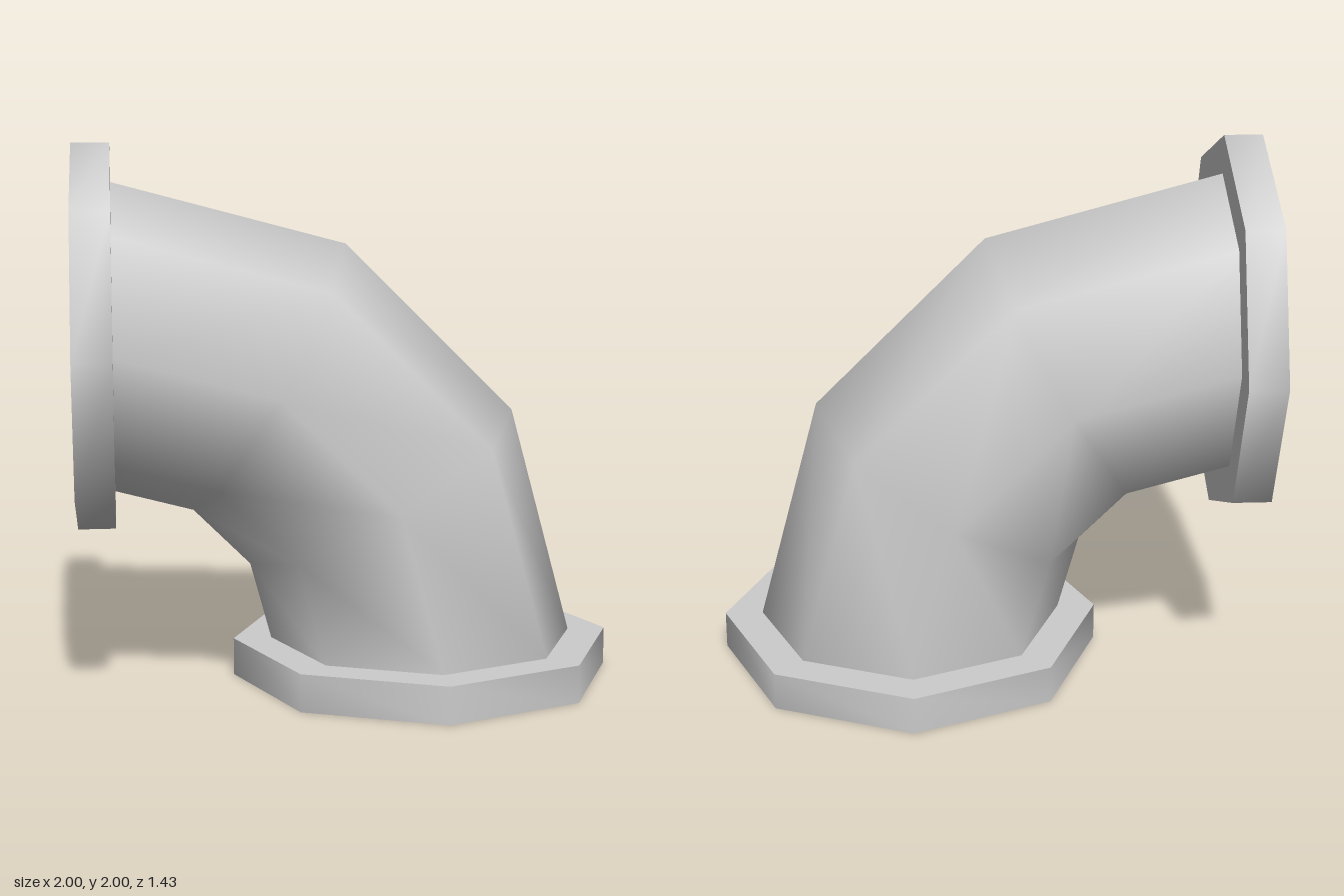
import * as THREE from 'three';
import { toCreasedNormals } from 'three/addons/utils/BufferGeometryUtils.js';

const SIDES = 8;
const FLANGE_R = 0.713, PIPE_R = 0.571, HOLE_R = 0.42, THICK = 0.14;
const OFFSET = 1 - FLANGE_R; // x of the lower opening's axis

export function createModel() {
  const group = new THREE.Group();
  const material = new THREE.MeshStandardMaterial({ color: 0xcccccc });

  // Octagonal pipe bend: a quarter turn in three straight segments
  const pipe = new THREE.Mesh(
    new THREE.TorusGeometry(OFFSET + 1 - THICK, PIPE_R, SIDES, 3, Math.PI / 2),
    material
  );
  pipe.name = 'pipeBend';
  pipe.position.set(THICK - 1, THICK, 0);
  group.add(pipe);

  // Flange with a recessed, closed opening; its outer face lies at local y = 0
  const profile = [
    [0, THICK], [HOLE_R, THICK], [HOLE_R, 0],
    [FLANGE_R, 0], [FLANGE_R, THICK], [PIPE_R - 0.05, THICK],
  ].map(([r, y]) => new THREE.Vector2(r, y));
  const flangeGeometry = toCreasedNormals(
    new THREE.LatheGeometry(profile, SIDES), THREE.MathUtils.degToRad(50)
  );

  const addFlange = (name, x, y, tilt) => {
    const flange = new THREE.Mesh(flangeGeometry, material);
    flange.name = name;
    flange.position.set(x, y, 0);
    flange.rotation.z = tilt;
    group.add(flange);
  };
  addFlange('bottomFlange', OFFSET, 0, 0);
  addFlange('sideFlange', -1, 2 - FLANGE_R, -Math.PI / 2);

  return group;
}
